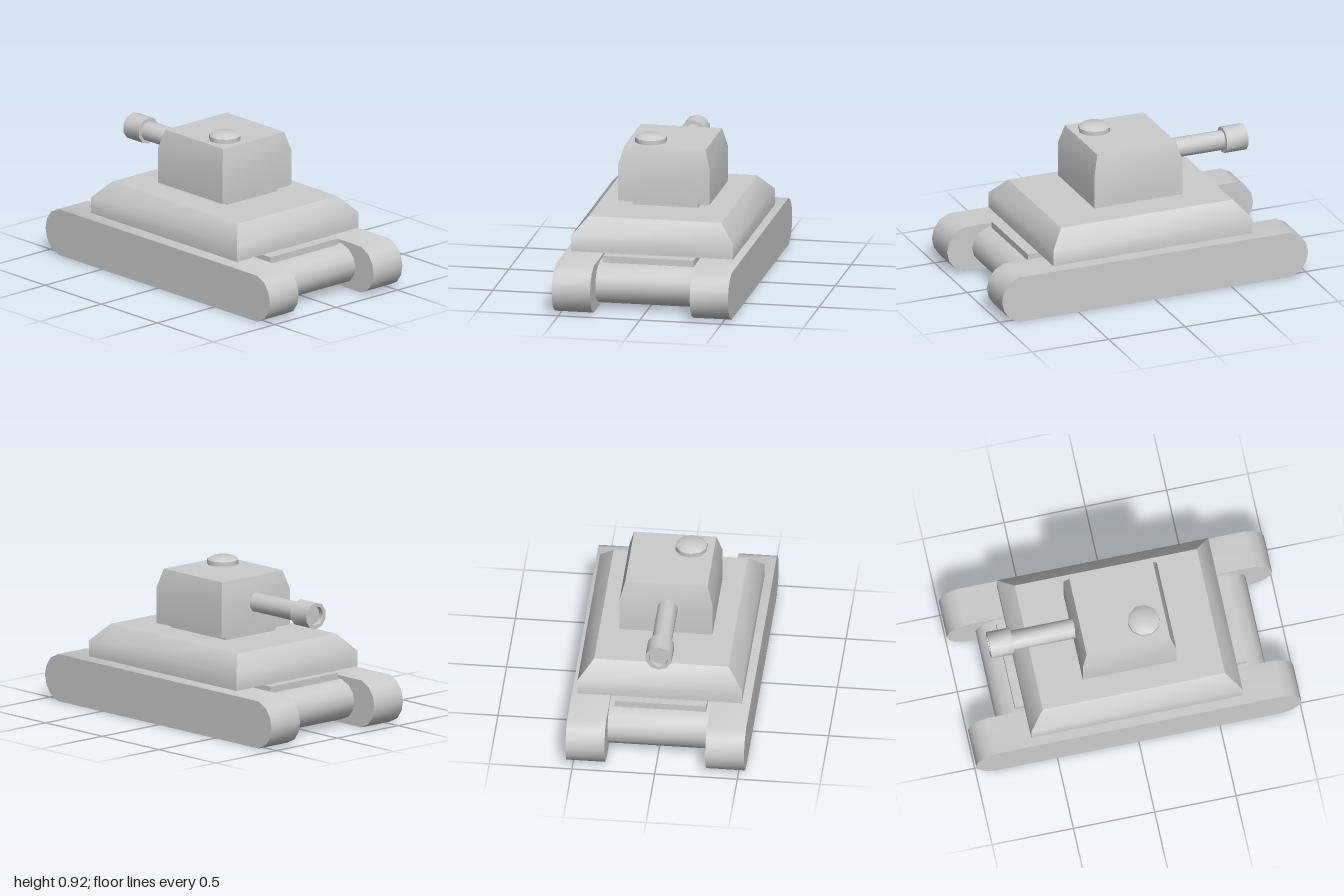
import * as THREE from 'three';
import { toCreasedNormals } from 'three/addons/utils/BufferGeometryUtils.js';

const CREASE = THREE.MathUtils.degToRad(45);

export function createModel() {
  const model = new THREE.Group();
  const material = new THREE.MeshStandardMaterial({ color: 0xcccccc });

  const add = (name, geometry) => {
    const mesh = new THREE.Mesh(toCreasedNormals(geometry, CREASE), material);
    mesh.name = name;
    model.add(mesh);
  };

  // Box given by its limits on each axis
  const box = ([x0, x1], [y0, y1], [z0, z1], rows = 1) =>
    new THREE.BoxGeometry(x1 - x0, y1 - y0, z1 - z0, 1, rows, 1)
      .translate((x0 + x1) / 2, (y0 + y1) / 2, (z0 + z1) / 2);

  // Box whose walls stand upright to yMid, then lean in to a smaller roof
  const slopedBox = (x, y, z, yMid, topX, topZ) => {
    const g = box(x, y, z, 2);
    const p = g.attributes.position;
    for (let i = 0; i < p.count; i++) {
      const h = p.getY(i);
      if (h > y[1] - 1e-4) {
        p.setX(i, topX[p.getX(i) < 0 ? 0 : 1]);
        p.setZ(i, topZ[p.getZ(i) < 0 ? 0 : 1]);
      } else if (h > y[0] + 1e-4) p.setY(i, yMid);
    }
    return g;
  };

  // Round-ended bar: side profile in z and y, extruded across x
  const roundedBar = ([x0, x1], [y0, y1], [z0, z1]) => {
    const end = [[0.115, 0], [0.05, 0.11], [0.013, 0.29], [0, 0.5], [0.013, 0.71], [0.05, 0.89], [0.115, 1]];
    const at = (v) => y0 + (y1 - y0) * v;
    const points = [
      ...end.map(([d, v]) => new THREE.Vector2(z1 - d, at(v))),
      ...end.map(([d, v]) => new THREE.Vector2(z0 + d, at(1 - v))),
    ];
    return new THREE.ExtrudeGeometry(new THREE.Shape(points), { depth: x1 - x0, bevelEnabled: false })
      .rotateY(-Math.PI / 2).translate(x1, 0, 0);
  };

  // Ten-sided turned part from [radius, height] pairs
  const turned = (profile) =>
    new THREE.LatheGeometry(profile.map(([r, h]) => new THREE.Vector2(r, h)), 10);

  // Running gear and lower hull
  add('leftTrack', roundedBar([0.305, 0.54], [0, 0.29], [-1, 1]));
  add('rightTrack', roundedBar([-0.54, -0.305], [0, 0.29], [-1, 1]));
  add('lowerHull', roundedBar([-0.305, 0.305], [0.022, 0.27], [-0.823, 0.837]));
  add('hullPlate', box([-0.28, 0.275], [0.26, 0.31], [-0.705, 0.72]));

  // Upper hull and turret
  add('upperHull', slopedBox([-0.49, 0.503], [0.31, 0.51], [-0.65, 0.65], 0.408, [-0.4, 0.412], [-0.56, 0.56]));
  add('turretRing', box([-0.195, 0.208], [0.505, 0.545], [-0.243, 0.245]));
  add('turret', slopedBox([-0.275, 0.287], [0.542, 0.876], [-0.287, 0.288], 0.76, [-0.242, 0.256], [-0.257, 0.257]));
  add('hatch', turned([[0, 0.87], [0.097, 0.87], [0.097, 0.903], [0.065, 0.922], [0, 0.922]])
    .translate(-0.105, 0, 0.123));

  // Gun pointing along -z, with a recessed muzzle
  const alongGun = (g) => g.rotateX(-Math.PI / 2).translate(-0.004, 0.72, 0);
  add('gunBarrel', alongGun(turned([[0.061, 0.27], [0.061, 0.69]])));
  add('muzzle', alongGun(turned([
    [0, 0.668], [0.082, 0.668], [0.082, 0.808], [0.06, 0.808], [0.06, 0.775], [0, 0.775],
  ])));

  return model;
}
